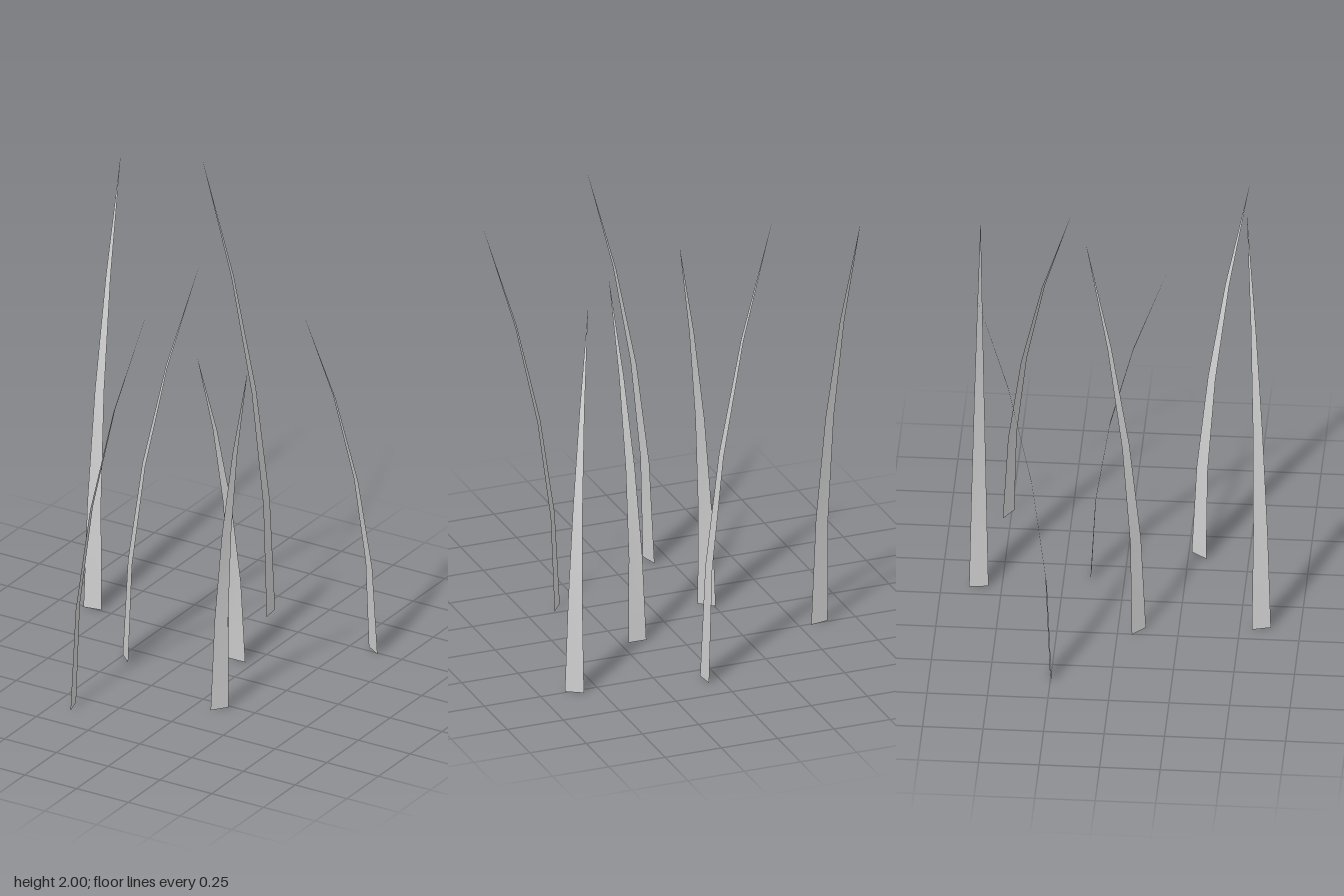
import * as THREE from 'three';

const BASE_WIDTH = 0.08;
const TIP_WIDTH = 0.001;
const SEGMENTS = 4;

// base x, base z, tip x, tip z, height
const BLADES = [
  [-0.59, -0.25, -0.645, -0.56, 1.92],
  [0.06, -0.595, -0.25, -0.565, 2.0],
  [0.605, -0.512, 0.437, -0.245, 1.59],
  [-0.225, 0.087, -0.012, -0.145, 1.75],
  [0.175, -0.14, 0.175, 0.17, 1.5],
  [-0.17, 0.589, 0.132, 0.508, 1.83],
  [0.356, 0.293, 0.605, 0.483, 1.67],
];

// Flat strip that narrows to a point and leans towards +z with a quadratic bend
function bladeGeometry(height, lean) {
  const geometry = new THREE.PlaneGeometry(1, 1, 1, SEGMENTS);
  const pos = geometry.attributes.position;
  for (let i = 0; i < pos.count; i++) {
    const t = pos.getY(i) + 0.5;
    const width = THREE.MathUtils.lerp(BASE_WIDTH, TIP_WIDTH, t);
    pos.setXYZ(i, pos.getX(i) * width, t * height, lean * t * t);
  }
  geometry.computeVertexNormals();
  return geometry;
}

export function createModel() {
  const group = new THREE.Group();
  group.name = 'grassTuft';
  const material = new THREE.MeshStandardMaterial({ color: 0xcccccc, side: THREE.DoubleSide });
  material.name = 'pale grey';

  BLADES.forEach(([x, z, tipX, tipZ, height], i) => {
    const dx = tipX - x, dz = tipZ - z;
    const blade = new THREE.Mesh(bladeGeometry(height, Math.hypot(dx, dz)), material);
    blade.name = `grassBlade${i + 1}`;
    blade.position.set(x, 0, z);
    blade.rotation.y = Math.atan2(dx, dz); // turn the lean towards the tip
    group.add(blade);
  });
  return group;
}
